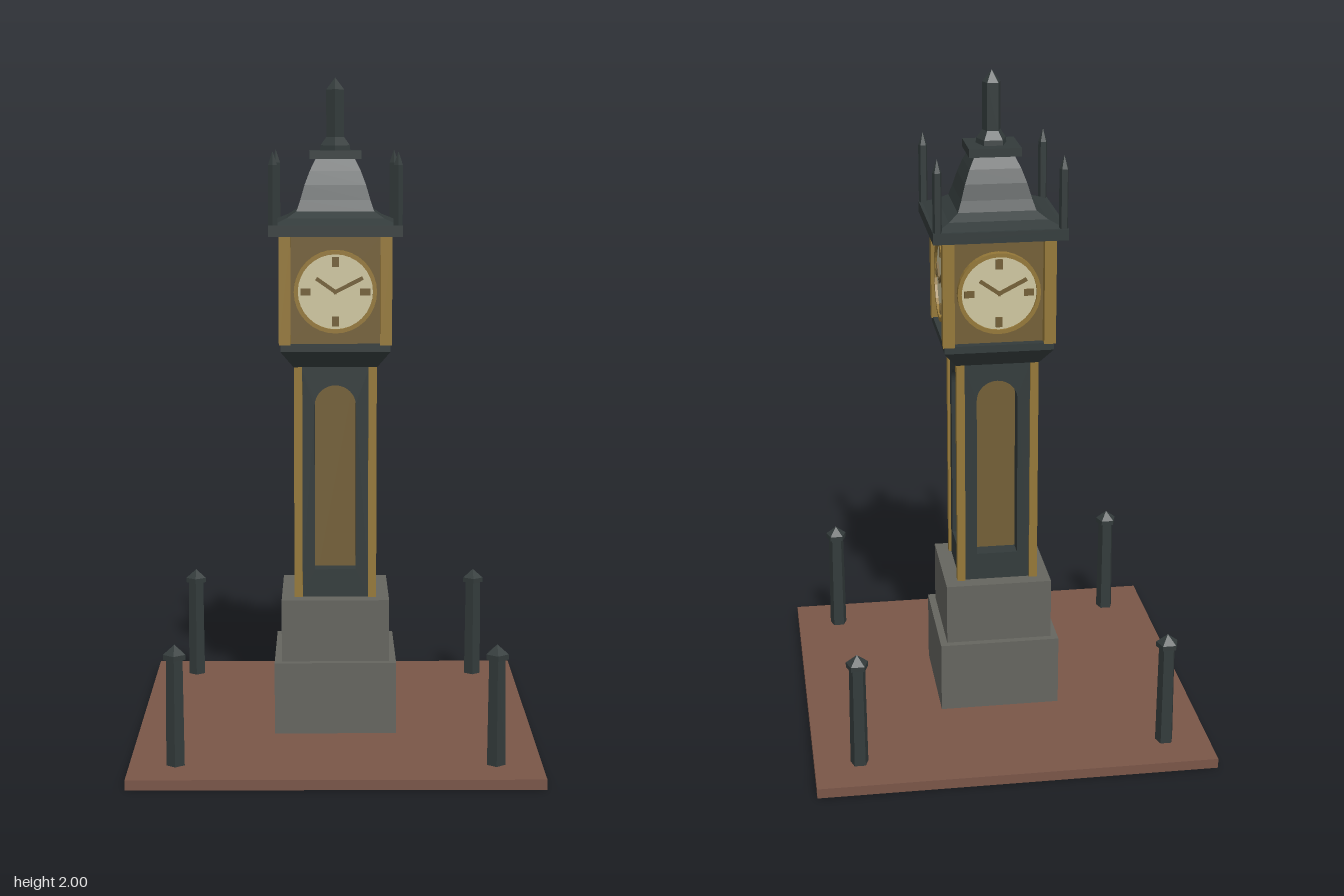
import * as THREE from 'three';

const mat = (color) => new THREE.MeshStandardMaterial({ color, flatShading: true });

export function createModel() {
  const dark = mat(0x333b3b), gold = mat(0x957838), bronze = mat(0x735f36);
  const stone = mat(0x65655f), brick = mat(0x7a5648), cream = mat(0xcfc6a0);

  const model = new THREE.Group();
  model.name = 'clockTower';
  const tower = new THREE.Group();
  tower.name = 'tower';
  tower.rotation.y = 0.279; // whole tower stands turned on the spot
  model.add(tower);

  const add = (parent, name, geo, material, x = 0, y = 0, z = 0) => {
    const m = new THREE.Mesh(geo, material);
    m.name = name;
    m.position.set(x, y, z);
    parent.add(m);
    return m;
  };
  // square block of half width h from y0 to y1
  const block = (parent, name, h, y0, y1, material, x = 0, z = 0) =>
    add(parent, name, new THREE.BoxGeometry(2 * h, y1 - y0, 2 * h), material, x, (y0 + y1) / 2, z);
  // turned profile of [radius, y] points; four sides give a square section
  const turned = (parent, name, pts, sides, material, x = 0, z = 0) => {
    const k = sides === 4 ? Math.SQRT2 : 1;
    const profile = pts.map(([r, y]) => new THREE.Vector2(r * k, y));
    const geo = new THREE.LatheGeometry(profile, sides, sides === 4 ? Math.PI / 4 : 0);
    return add(parent, name, geo, material, x, 0, z);
  };
  const corners = [[1, 1], [1, -1], [-1, -1], [-1, 1]];

  // pavement and stepped plinth
  block(tower, 'pavement', 0.598, 0, 0.03, brick);
  block(tower, 'lowerPlinth', 0.184, 0.03, 0.25, stone);
  block(tower, 'upperPlinth', 0.1625, 0.25, 0.44, stone);

  // shaft core, collar, clock housing and eaves
  block(tower, 'shaftCore', 0.065, 0.44, 1.15, bronze);
  turned(tower, 'collar', [[0, 1.145], [0.125, 1.145], [0.163, 1.195], [0.163, 1.217], [0, 1.217]], 4, dark);
  block(tower, 'clockHousing', 0.138, 1.21, 1.54, bronze);
  block(tower, 'eaves', 0.197, 1.537, 1.57, dark);

  // bell-shaped roof with its cap and spire
  turned(tower, 'roof', [[0.187, 1.57], [0.145, 1.588], [0.115, 1.608], [0.104, 1.64],
    [0.091, 1.685], [0.076, 1.725], [0.056, 1.765]], 4, dark);
  block(tower, 'roofCap', 0.077, 1.76, 1.785, dark);
  turned(tower, 'spire', [[0.048, 1.785], [0.046, 1.80], [0.028, 1.825], [0.028, 1.965], [0, 2]], 5, dark);

  // parts repeated at the corners
  for (const [sx, sz] of corners) {
    block(tower, 'shaftCornerPost', 0.0125, 0.44, 1.15, gold, sx * 0.1115, sz * 0.1115);
    block(tower, 'housingCornerPost', 0.0175, 1.215, 1.538, gold, sx * 0.15, sz * 0.15);
    turned(tower, 'cornerFinial', [[0.014, 1.57], [0.014, 1.745], [0, 1.785]], 5, dark, sx * 0.183, sz * 0.183);
    turned(tower, 'bollard', [[0.028, 0.03], [0.025, 0.345], [0.034, 0.345], [0.034, 0.36], [0, 0.387]],
      5, dark, sx * 0.4635, sz * 0.4635);
  }

  // arched frame for one side of the shaft
  const frameShape = new THREE.Shape();
  frameShape.moveTo(-0.105, 0.44).lineTo(0.105, 0.44).lineTo(0.105, 1.15).lineTo(-0.105, 1.15).closePath();
  const arch = new THREE.Path();
  arch.moveTo(-0.062, 0.525).lineTo(-0.062, 1.027);
  arch.absarc(0, 1.027, 0.062, Math.PI, 0, true);
  arch.lineTo(0.062, 0.525).closePath();
  frameShape.holes.push(arch);
  const frameGeo = new THREE.ExtrudeGeometry(frameShape, { depth: 0.051, bevelEnabled: false, curveSegments: 12 });

  // ring around a clock dial
  const ringShape = new THREE.Shape().absarc(0, 0, 0.123, 0, Math.PI * 2);
  ringShape.holes.push(new THREE.Path().absarc(0, 0, 0.111, 0, Math.PI * 2, true));
  const ringGeo = new THREE.ExtrudeGeometry(ringShape, { depth: 0.024, bevelEnabled: false, curveSegments: 16 });
  const dialGeo = new THREE.CylinderGeometry(0.114, 0.114, 0.016, 32).rotateX(Math.PI / 2);

  const hand = (clock, name, angle, length) => {
    const geo = new THREE.BoxGeometry(0.011, length, 0.006).translate(0, length / 2 - 0.006, 0);
    add(clock, name, geo, bronze, 0, 0, 0.021).rotation.z = angle;
  };

  // four identical sides
  for (let i = 0; i < 4; i++) {
    const side = new THREE.Group();
    side.name = 'side';
    side.rotation.y = i * Math.PI / 2;
    tower.add(side);
    add(side, 'archedFrame', frameGeo, dark, 0, 0, 0.065);

    const clock = new THREE.Group();
    clock.name = 'clock';
    clock.position.set(0, 1.373, 0.136);
    side.add(clock);
    add(clock, 'clockRing', ringGeo, gold);
    add(clock, 'dial', dialGeo, cream, 0, 0, 0.008);
    for (let k = 0; k < 4; k++) {
      const a = k * Math.PI / 2;
      add(clock, 'hourMark', new THREE.BoxGeometry(0.02, 0.03, 0.006), bronze,
        Math.sin(a) * 0.088, Math.cos(a) * 0.088, 0.018).rotation.z = -a;
    }
    hand(clock, 'hourHand', 0.96, 0.075);
    hand(clock, 'minuteHand', -1.1, 0.097);
  }
  return model;
}
